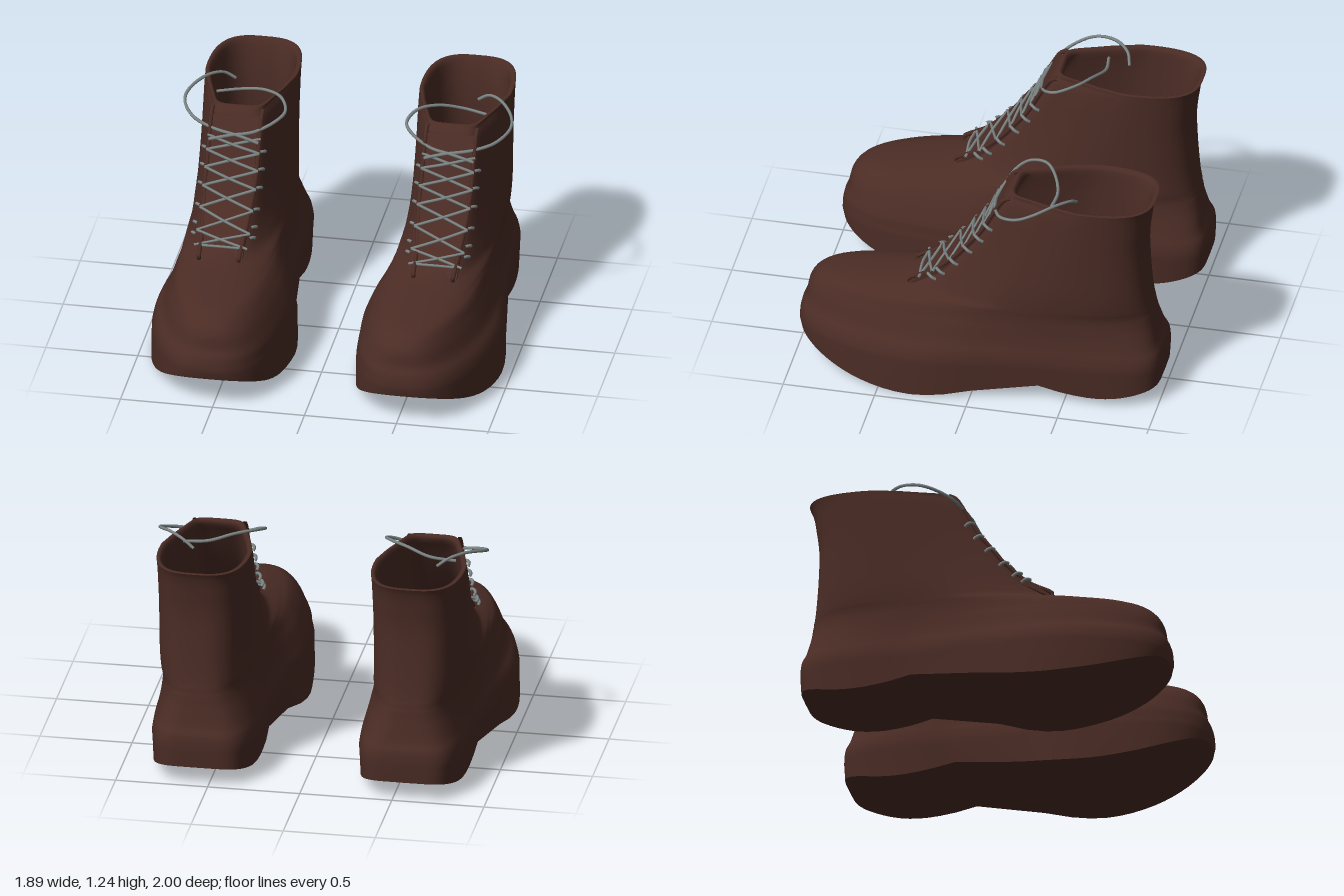
import * as THREE from 'three';

const leather = new THREE.MeshStandardMaterial({ color: 0x4b2c25, side: THREE.DoubleSide });
const cord = new THREE.MeshStandardMaterial({ color: 0x7c8484 });
const { lerp, smoothstep } = THREE.MathUtils;
const SEG = 80;

// Boot outline by height: y, back z, front z, heel half width, fore half width, heel and toe squareness
const LEVELS = [
  [0.10, -0.995, 0.99, 0.29, 0.394, 5, 2.6],
  [0.20, -1.0, 1.0, 0.296, 0.39, 5, 2.6],
  [0.28, -0.995, 0.99, 0.291, 0.37, 4.8, 2.6],
  [0.33, -0.975, 0.967, 0.28, 0.343, 4.4, 2.6],
  [0.40, -0.96, 0.955, 0.268, 0.313, 3.8, 2.5],
  [0.45, -0.95, 0.925, 0.263, 0.29, 3.4, 2.4],
  [0.49, -0.945, 0.87, 0.259, 0.272, 3.2, 2.3],
  [0.515, -0.94, 0.75, 0.257, 0.257, 3.1, 2.2],
  [0.54, -0.937, 0.57, 0.256, 0.243, 3, 2.2],
  [0.57, -0.93, 0.385, 0.255, 0.223, 3, 2.5],
  [0.65, -0.92, 0.25, 0.254, 0.195, 3, 3.3],
  [0.78, -0.91, 0.115, 0.252, 0.176, 3, 4.4],
  [0.95, -0.905, -0.015, 0.25, 0.167, 3, 5],
  [1.08, -0.92, -0.085, 0.25, 0.164, 3, 5],
  [1.17, -0.94, -0.14, 0.25, 0.162, 3, 5],
  [1.205, -0.955, -0.17, 0.25, 0.162, 3, 5],
];

// Rocker profile of the sole: z, y
const SOLE = new THREE.SplineCurve([[-1.02, 0.115], [-0.8, 0.06], [-0.64, 0.05], [-0.47, 0.07], [-0.32, 0.1],
  [-0.15, 0.08], [0.1, 0.025], [0.35, 0.003], [0.6, 0.03], [0.8, 0.085], [1, 0.17]]
  .map((p) => new THREE.Vector2(...p))).getPoints(80).map((p) => [p.x, p.y]);

function lookup(table, k, column) {
  let i = 1;
  while (i < table.length - 1 && table[i][0] < k) i++;
  const a = table[i - 1], b = table[i];
  return lerp(a[column], b[column], THREE.MathUtils.clamp((k - a[0]) / (b[0] - a[0]), 0, 1));
}
const throatZ = (y) => lookup(LEVELS, y, 2);

// Hollow of the inner waist, and the midline that bends with it and leans inward over the ball
const waist = (z, y) => 0.02 * Math.exp(-(((z + 0.12) / 0.2) ** 2)) * (1 - smoothstep(y, 0.3, 0.55));
const centreX = (z, y) => 0.562 - 0.03 * smoothstep(z, 0.4, 1) + 0.02 * smoothstep(y, 0.3, 0.7) + waist(z, y)
  - 0.016 * smoothstep(z, -0.1, 0.3) * smoothstep(y, 0.24, 0.34) * (1 - smoothstep(y, 0.42, 0.6));

// One closed loop around the boot; onSole drops it to the rocker curve, squash pulls it to the midline
function ring([y, zb, zf, wb, wf, nb, nf], onSole = false, squash = 1) {
  const points = [], zc = (zb + zf) / 2, half = (zf - zb) / 2;
  const k = smoothstep(y, 0.4, 0.58);
  for (let j = 0; j < SEG; j++) {
    const u = (j / SEG) * Math.PI * 2, c = Math.cos(u), s = Math.sin(u);
    const n = c > 0 ? nf : nb;
    const z = zc + half * Math.sign(c) * Math.abs(c) ** (2 / n);
    const blend = smoothstep((z - zb) / (zf - zb), 0.3 + 0.15 * k, 0.68 + 0.27 * k);
    const width = lerp(wb, wf, blend) - waist(z, y);
    const x = width * Math.sign(s) * Math.abs(s) ** (2 / n) * squash;
    const lift = y > 1.1 ? 0.015 * (zf - z) : 0;
    points.push([centreX(z, y) + x, onSole ? lookup(SOLE, z, 1) : y + lift, z]);
  }
  return points;
}

// Skin joining successive rings
function skin(rings, side) {
  const pos = [], index = [];
  for (const r of rings) for (const [x, y, z] of r) pos.push(x * side, y, z);
  for (let i = 0; i < rings.length - 1; i++) {
    for (let j = 0; j < SEG; j++) {
      const a = i * SEG + j, b = i * SEG + (j + 1) % SEG, c = a + SEG, d = b + SEG;
      if (side > 0) index.push(a, b, c, b, d, c);
      else index.push(a, c, b, b, c, d);
    }
  }
  const g = new THREE.BufferGeometry();
  g.setAttribute('position', new THREE.Float32BufferAttribute(pos, 3));
  g.setIndex(index);
  g.computeVertexNormals();
  return g;
}

// Levels smoothed with a spline through their neighbours
function smoothLevels(steps) {
  const spline = (cols) => new THREE.CatmullRomCurve3(
    LEVELS.map((l) => new THREE.Vector3(...cols.map((c) => l[c]))));
  const a = spline([0, 1, 2]), b = spline([3, 4, 5]);
  const count = (LEVELS.length - 1) * steps, out = [];
  for (let i = 0; i <= count; i++) {
    const p = a.getPoint(i / count), q = b.getPoint(i / count);
    const f = Math.min(i / steps, LEVELS.length - 1.001), k = Math.floor(f);
    out.push([p.x, p.y, p.z, q.x, q.y, q.z, lerp(LEVELS[k][6], LEVELS[k + 1][6], f - k)]);
  }
  return out;
}

function createBoot(side) {
  const boot = new THREE.Group();
  const add = (name, geometry, material = leather) => {
    const mesh = new THREE.Mesh(geometry, material);
    mesh.name = name;
    boot.add(mesh);
  };
  const tube = (name, pts, radius, material, segments = 48) => add(name, new THREE.TubeGeometry(
    new THREE.CatmullRomCurve3(pts.map(([x, y, z]) => new THREE.Vector3(x * side, y, z))),
    segments, radius, 6), material);

  // Outer shell and tread
  const levels = smoothLevels(3);
  add('upper', skin([ring(levels[0], true), ...levels.slice(3).map((l) => ring(l))], side));
  add('outsole', skin([0, 0.5, 1].map((s) => ring(LEVELS[0], true, s)), side));

  // Rolled rim, inner wall running into the toe, and insole
  const inset = (l, d, drop = 0) => [l[0] - drop, l[1] + d, l[2] - d, l[3] - d, l[4] - d * 0.6, l[5], l[6]];
  const top = LEVELS[LEVELS.length - 1];
  const inner = LEVELS.slice(3).reverse().map((l) => inset(l, 0.03, 0.025));
  add('lining', skin([ring(top), ring(inset(top, 0.012, -0.005)), ring(inset(top, 0.025, 0.003)),
    ...inner.map((l) => ring(l)), ring(inner[inner.length - 1], false, 0)], side));

  // Tongue following the throat, sunk between two raised facing edges
  const cx = 0.583, heights = [0.57, 0.65, 0.78, 0.87, 0.95, 1.08, 1.17];
  const shape = new THREE.Shape();
  shape.moveTo(-throatZ(0.57) + 0.01, 0.56);
  heights.slice(1).forEach((y) => shape.lineTo(-throatZ(y) - 0.004, y));
  [...heights].reverse().forEach((y) => shape.lineTo(-throatZ(y) + 0.035, y - 0.01));
  const tongue = new THREE.ExtrudeGeometry(shape, { depth: 0.25, bevelEnabled: false });
  tongue.rotateY(Math.PI / 2).translate(cx * side - 0.125, 0, 0);
  add('tongue', tongue);
  for (const s of [-1, 1]) {
    const edge = [0.55, ...heights, 1.19].map((y) => [
      cx + s * lerp(0.105, 0.136, smoothstep(y, 0.5, 0.9)), y, throatZ(Math.max(y, 0.57)) - 0.002]);
    edge[0][2] = 0.365;
    edge[edge.length - 1][2] -= 0.02;
    tube('facingEdge', edge, 0.012, leather);
  }

  // Criss-cross lacing between the facings
  const rows = [0.61, 0.66, 0.75, 0.84, 0.92, 1.0, 1.07];
  for (const s of [-1, 1]) {
    for (let i = 0; i < rows.length - 1; i++) {
      const y = rows[i], y2 = rows[i + 1], ym = (y + y2) / 2;
      tube('lace', [[cx - s * 0.145, y, throatZ(y) + 0.005], [cx, ym, throatZ(ym) + 0.01 + s * 0.004],
        [cx + s * 0.145, y2, throatZ(y2) + 0.005]], 0.008, cord, 12);
    }
    // Short loops through the eyelets on the flank of each facing
    for (const y of [0.64, 0.68, 0.75, 0.84, 0.92, 1.0]) {
      const z = throatZ(y);
      tube('eyeletLoop', [[cx + s * 0.145, y + 0.008, z + 0.002], [cx + s * 0.162, y + 0.008, z - 0.012],
        [cx + s * 0.17, y, z - 0.028], [cx + s * 0.165, y - 0.012, z - 0.045]], 0.009, cord, 10);
    }
  }
  tube('bottomLace', [[cx - 0.11, 0.61, 0.32], [cx, 0.615, 0.328], [cx + 0.11, 0.61, 0.32]], 0.008, cord, 10);

  // Loose lace ends curling over the collar
  tube('outerLaceEnd', [[0.45, 1.05, -0.06], [0.56, 1.08, -0.07], [0.7, 1.1, -0.095], [0.82, 1.13, -0.15],
    [0.885, 1.17, -0.25], [0.875, 1.2, -0.33], [0.8, 1.23, -0.44], [0.72, 1.22, -0.51], [0.66, 1.18, -0.53]], 0.009, cord);
  tube('innerLaceEnd', [[0.72, 1.05, -0.06], [0.6, 1.08, -0.07], [0.48, 1.1, -0.09], [0.37, 1.15, -0.14],
    [0.33, 1.18, -0.2], [0.37, 1.21, -0.3], [0.47, 1.21, -0.37], [0.6, 1.18, -0.415], [0.74, 1.16, -0.4]], 0.009, cord);
  return boot;
}

export function createModel() {
  const model = new THREE.Group();
  model.name = 'pairOfBoots';
  for (const side of [1, -1]) {
    const boot = createBoot(side);
    boot.name = side > 0 ? 'leftBoot' : 'rightBoot';
    model.add(boot);
  }
  return model;
}
